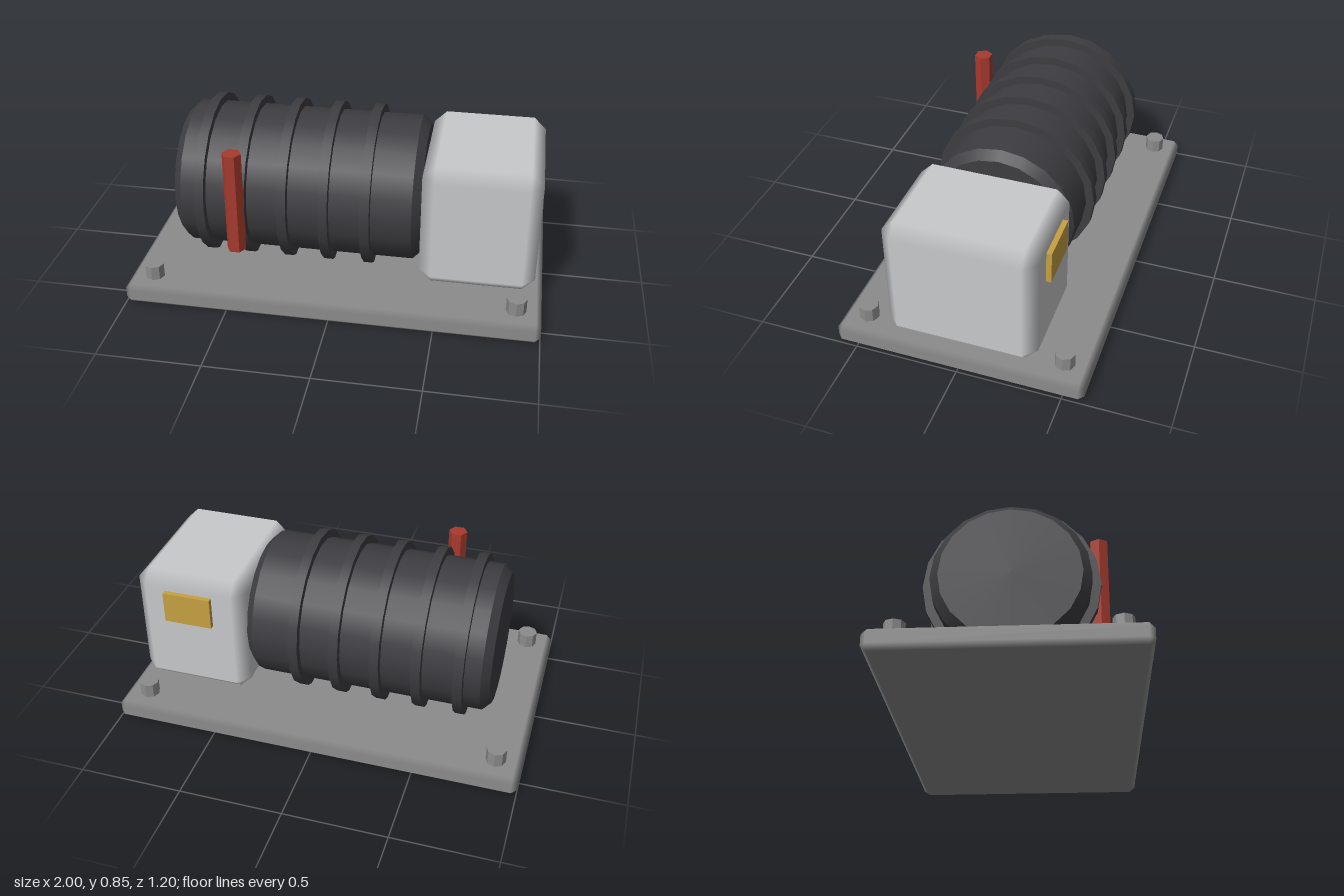
import * as THREE from 'three';
import { ConvexGeometry } from 'three/addons/geometries/ConvexGeometry.js';

const mat = (name, color, flatShading = false) => {
  const m = new THREE.MeshStandardMaterial({ color, flatShading });
  m.name = name;
  return m;
};

// Box with one chamfer per edge, shaded smoothly between its flat faces
function chamferBox(w, h, d, c) {
  const half = [w / 2, h / 2, d / 2];
  const points = [];
  for (const sx of [-1, 1]) for (const sy of [-1, 1]) for (const sz of [-1, 1]) {
    for (let axis = 0; axis < 3; axis++) {
      const p = [sx, sy, sz].map((s, i) => s * (half[i] - (i === axis ? 0 : c)));
      points.push(new THREE.Vector3(...p));
    }
  }
  const geo = new ConvexGeometry(points);
  const pos = geo.attributes.position, nor = geo.attributes.normal;
  for (let i = 0; i < pos.count; i++) {
    const p = [pos.getX(i), pos.getY(i), pos.getZ(i)];
    nor.setXYZ(i, ...p.map((v, a) => (Math.abs(v) > half[a] - c / 2 ? Math.sign(v) : 0)));
  }
  return geo;
}

export function createModel() {
  const model = new THREE.Group();
  model.name = 'electricMotor';
  const steel = mat('baseGrey', 0x8c8c8c);
  const boltSteel = steel;
  const dark = mat('motorDark', 0x3e3e42);
  const light = mat('housingLight', 0xc8c9cb);
  const red = mat('handleRed', 0xa83a2e);
  const gold = mat('plateGold', 0xc6a142);

  const add = (name, geo, material, x, y, z, parent = model) => {
    const mesh = new THREE.Mesh(geo, material);
    mesh.name = name;
    mesh.position.set(x, y, z);
    parent.add(mesh);
    return mesh;
  };

  // Base plate and housing block
  add('basePlate', chamferBox(2, 0.1, 1.2, 0.025), steel, 0, 0.05, 0);
  add('housingBlock', chamferBox(0.56, 0.63, 0.72, 0.06), light, 0.68, 0.415, 0);

  // Motor drum lying along x, with chamfered ends
  const drum = new THREE.Group();
  drum.name = 'motorDrum';
  drum.position.y = 0.45;
  model.add(drum);
  const alongX = (rRight, rLeft, length, open) =>
    new THREE.CylinderGeometry(rRight, rLeft, length, 20, 1, open).rotateZ(-Math.PI / 2);
  add('drumBody', alongX(0.36, 0.36, 1.12, true), dark, -0.2, 0, 0, drum);
  add('drumChamferRight', alongX(0.32, 0.36, 0.04, true), dark, 0.38, 0, 0, drum);
  add('drumChamferLeft', alongX(0.36, 0.32, 0.04, true), dark, -0.78, 0, 0, drum);
  const cap = new THREE.CircleGeometry(0.32, 20);
  add('drumEndRight', cap, dark, 0.4, 0, 0, drum).rotation.y = Math.PI / 2;
  add('drumEndLeft', cap, dark, -0.8, 0, 0, drum).rotation.y = -Math.PI / 2;

  // Cooling ribs
  const rib = alongX(0.4, 0.4, 0.046, false);
  for (let i = 0; i < 5; i++) add('coolingRib', rib, dark, -0.658 + 0.2 * i, 0, 0, drum);

  // Corner bolts, faceted by splitting the shared side normals
  const facet = (geo) => {
    const g = geo.toNonIndexed();
    g.computeVertexNormals();
    return g;
  };
  const bolt = facet(new THREE.CylinderGeometry(0.048, 0.048, 0.08, 8));
  for (const x of [-0.88, 0.88]) for (const z of [-0.48, 0.48]) {
    add('cornerBolt', bolt, boltSteel, x, 0.13, z);
  }

  // Hexagonal handle bar and name plate
  const bar = facet(new THREE.CylinderGeometry(0.046, 0.046, 0.52, 6).rotateY(Math.PI / 2));
  add('handleBar', bar, red, -0.48, 0.51, 0.4);
  add('backPlate', new THREE.BoxGeometry(0.24, 0.16, 0.03), gold, 0.68, 0.57, -0.37);

  return model;
}
